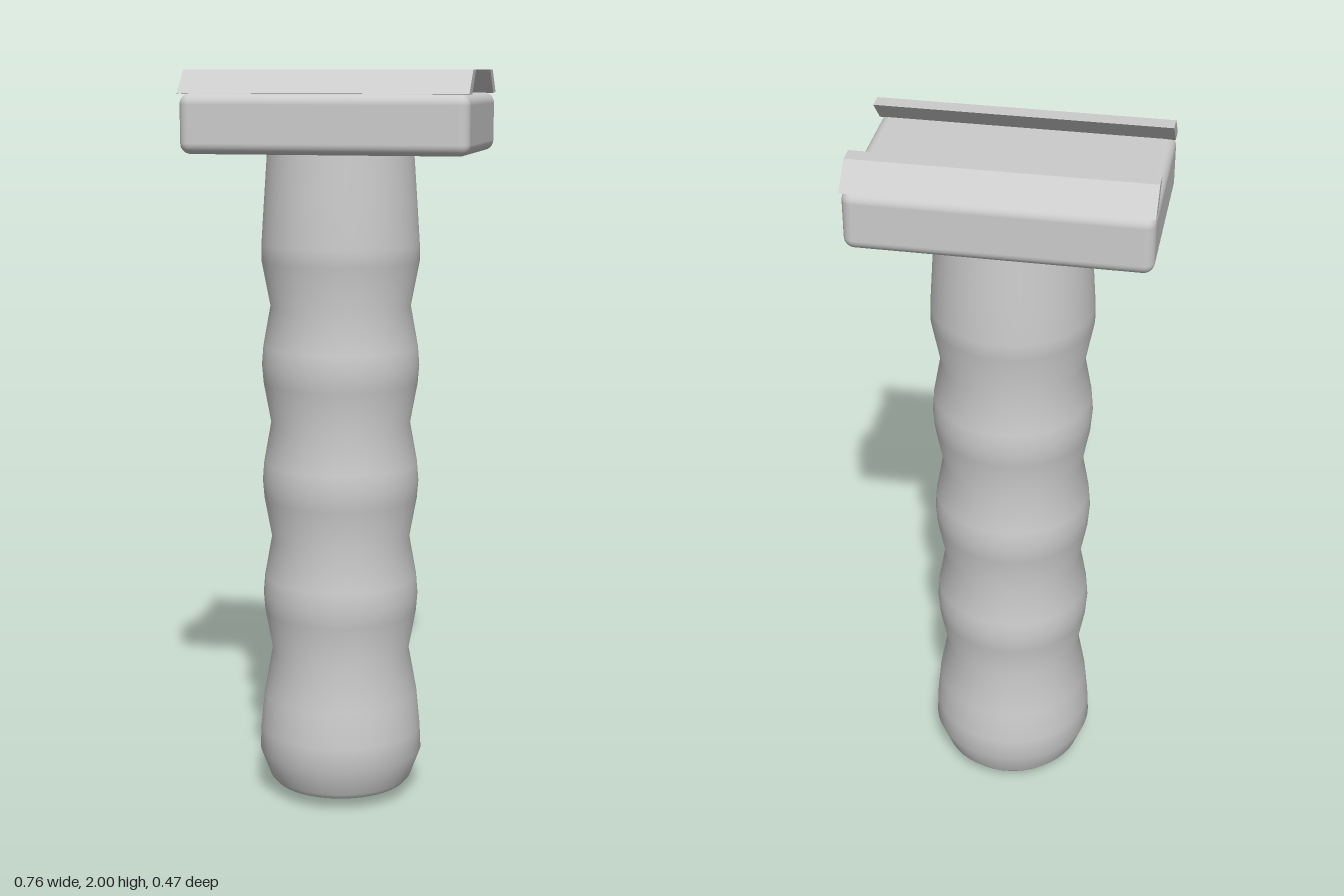
import * as THREE from 'three';
import { RoundedBoxGeometry } from 'three/addons/geometries/RoundedBoxGeometry.js';

const material = new THREE.MeshStandardMaterial({ color: 0xcccccc });

function addMesh(parent, name, geometry) {
  const mesh = new THREE.Mesh(geometry, material);
  mesh.name = name;
  parent.add(mesh);
  return mesh;
}

function lathe(profile) {
  return new THREE.LatheGeometry(profile.map(([r, y]) => new THREE.Vector2(r, y)), 48);
}

export function createModel() {
  const model = new THREE.Group();
  model.name = 'foregrip';

  // Handle: bulbous foot, three finger swells, then a taper into the plate
  const profile = [[0.185, 0.035], [0.198, 0.05], [0.226, 0.125], [0.223, 0.19], [0.213, 0.29], [0.19, 0.415]];
  for (let i = 0; i < 3; i++) {
    const y = 0.575 + i * 0.32;
    profile.push([0.21, y - 0.05], [0.214, y], [0.21, y + 0.05], [0.19, y + 0.16]);
  }
  profile.push([0.213, 1.495], [0.213, 1.54], [0.205, 1.66], [0.196, 1.79]);
  addMesh(model, 'handle', lathe(profile));

  // Shallow pointed end cap
  addMesh(model, 'endCap', lathe([[0, 0], [0.185, 0.035]]));

  // Mounting plate with softened edges
  const plate = addMesh(model, 'mountingPlate', new RoundedBoxGeometry(0.76, 0.155, 0.472, 4, 0.028));
  plate.position.y = 1.862;

  // Pair of clamp rails leaning inward, with profiles drawn in z and y
  for (const side of [1, -1]) {
    const section = [[0.237, 1.94], [0.174, 2], [0.128, 2], [0.191, 1.938]];
    const shape = new THREE.Shape(section.map(([z, y]) => new THREE.Vector2(-side * z, y)));
    const rail = new THREE.ExtrudeGeometry(shape, { depth: 0.76, bevelEnabled: false });
    rail.translate(0, 0, -0.38).rotateY(Math.PI / 2);
    addMesh(model, side > 0 ? 'frontRail' : 'backRail', rail);
  }

  return model;
}
